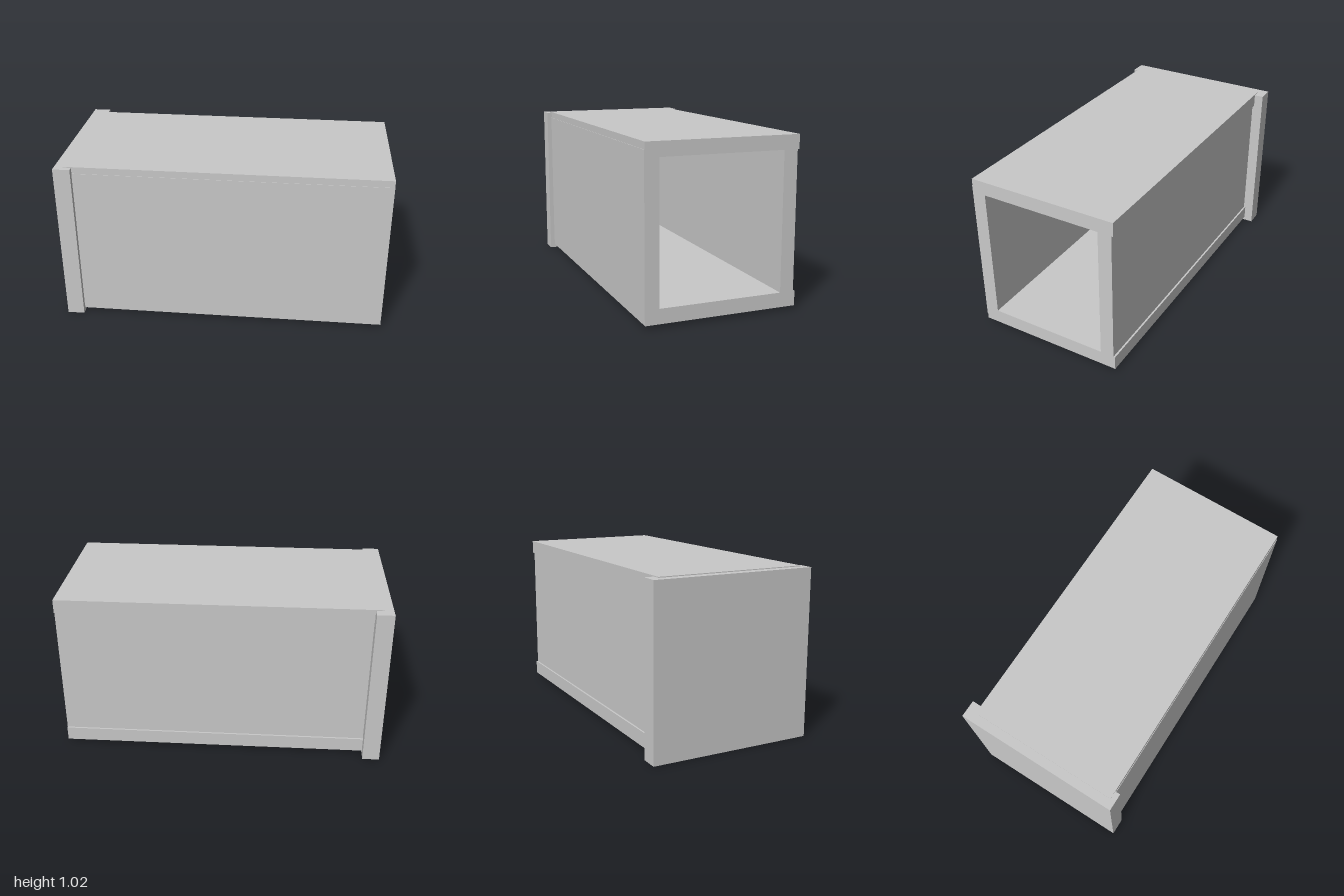
import * as THREE from 'three';

const grey = new THREE.MeshStandardMaterial({ color: 0xc9c9c9 });
grey.name = 'grey';

export function createModel() {
  const model = new THREE.Group();
  model.name = 'boxWithEndPanel';

  // Wide closing panel at the right end
  const panel = new THREE.Mesh(new THREE.BoxGeometry(0.105, 1.016, 1.016), grey);
  panel.position.set(-0.9475, 0.508, 0);
  panel.name = 'endPanel';
  model.add(panel);

  // Sleeve section: the front wall stands slightly proud, the back wall is slightly recessed
  const points = [
    [0.476, 0.022], [0.476, 0.058], [0.479, 0.058], [0.479, 0.979], [0.476, 0.979], [0.476, 1.021],
    [-0.451, 1.021], [-0.451, 0.936], [-0.44, 0.936], [-0.44, 0.11], [-0.451, 0.11], [-0.451, 0.022],
  ];
  // Shape x runs along -z so that the extrusion can be turned to run along +x
  const section = new THREE.Shape(points.map(([z, y]) => new THREE.Vector2(-z, y)));
  // The opening winds the other way round, so that the inner walls face inwards
  const opening = [[0.393, 0.11], [-0.355, 0.11], [-0.355, 0.936], [0.393, 0.936]];
  section.holes.push(new THREE.Path(opening.map(([z, y]) => new THREE.Vector2(-z, y))));

  // Open sleeve, let partly into the end panel
  const sleeve = new THREE.Mesh(
    new THREE.ExtrudeGeometry(section, { depth: 1.945, bevelEnabled: false }), grey);
  sleeve.rotation.y = Math.PI / 2;
  sleeve.position.x = -0.945;
  sleeve.name = 'sleeve';
  model.add(sleeve);

  return model;
}
